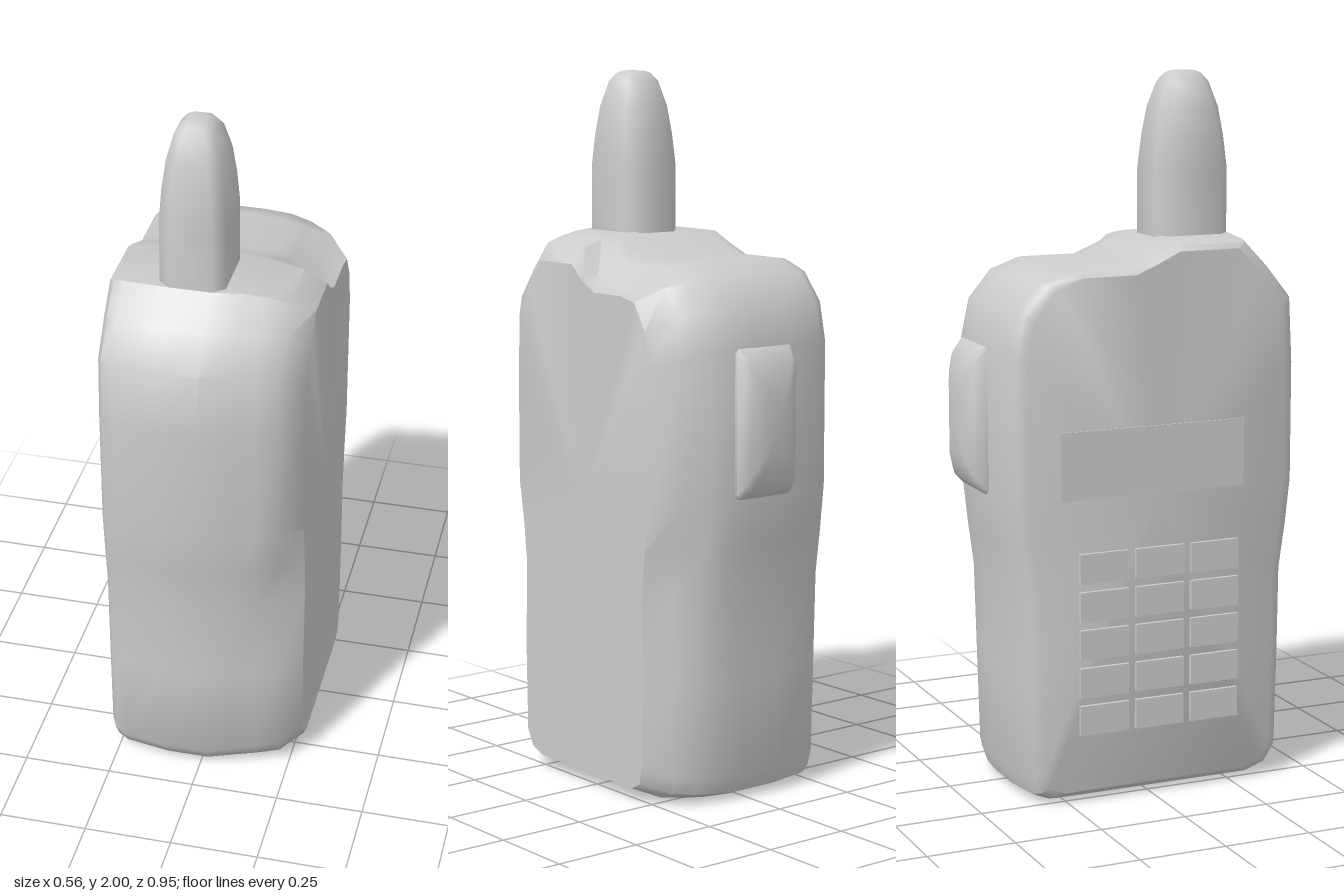
import * as THREE from 'three';
import { toCreasedNormals } from 'three/addons/utils/BufferGeometryUtils.js';

const material = new THREE.MeshStandardMaterial({ color: 0xcccccc });

// Skin a series of matching closed rings of [x, y, z] points and close both ends.
function loft(rings, crease = 0.7) {
  const n = rings[0].length;
  const points = rings.flat();
  const index = [];
  for (let r = 0; r < rings.length - 1; r++) {
    for (let i = 0; i < n; i++) {
      const j = (i + 1) % n;
      const a = r * n + i, b = r * n + j, c = a + n, d = b + n;
      index.push(a, b, d, a, d, c);
    }
  }
  [0, rings.length - 1].forEach((r, end) => {
    const centre = [0, 1, 2].map(k => rings[r].reduce((s, p) => s + p[k], 0) / n);
    const c = points.push(centre) - 1;
    for (let i = 0; i < n; i++) {
      const a = r * n + i, b = r * n + (i + 1) % n;
      index.push(...(end ? [c, a, b] : [c, b, a]));
    }
  });
  // Turn the faces outward if the signed volume is negative
  let volume = 0;
  const v = points.map(p => new THREE.Vector3(...p));
  for (let i = 0; i < index.length; i += 3) {
    volume += v[index[i]].dot(v[index[i + 1]].clone().cross(v[index[i + 2]]));
  }
  if (volume < 0) index.reverse();
  const geometry = new THREE.BufferGeometry().setFromPoints(v);
  geometry.setIndex(index);
  return toCreasedNormals(geometry, crease);
}

// Rectangle with cut corners, as [u, v] pairs
function cutRect(u0, u1, v0, v1, c) {
  return [
    [u0 + c, v0], [u1 - c, v0], [u1, v0 + c], [u1, v1 - c],
    [u1 - c, v1], [u0 + c, v1], [u0, v1 - c], [u0, v0 + c],
  ];
}

function addMesh(parent, name, geometry) {
  const mesh = new THREE.Mesh(geometry, material);
  mesh.name = name;
  parent.add(mesh);
  return mesh;
}

function makeBody() {
  // Outline of the case as [z, y]
  const outline = [
    [0.33, 0], [0.395, 0.02], [0.43, 0.07], [0.437, 0.35], [0.44, 0.6], [0.46, 0.73],
    [0.475, 0.86], [0.475, 1.2], [0.465, 1.38], [0.39, 1.47], [0.31, 1.55],
    [0.1, 1.55], [0.03, 1.52], [-0.05, 1.49], [-0.23, 1.49], [-0.32, 1.46],
    [-0.39, 1.38], [-0.415, 1.27], [-0.415, 0.86], [-0.4, 0.73], [-0.382, 0.6],
    [-0.375, 0.35], [-0.367, 0.07], [-0.35, 0.02], [-0.3, 0],
  ];
  // Across the thickness: x, z extent, -z extent, bottom, top
  const stations = [
    [-0.27, 0.41, 0.36, 0.03, 1.525], [-0.255, 0.44, 0.385, 0.015, 1.54],
    [-0.225, 0.455, 0.4, 0.005, 1.545], [-0.1, 0.475, 0.415, 0, 1.55],
    [0.02, 0.475, 0.415, 0, 1.55], [0.1, 0.445, 0.41, 0.005, 1.545],
    [0.16, 0.425, 0.39, 0.01, 1.535], [0.22, 0.4, 0.35, 0.015, 1.52],
    [0.28, 0.325, 0.275, 0.04, 1.475],
  ];
  return loft(stations.map(([x, front, back, bottom, top]) => outline.map(([z, y]) => {
    let nz = z > 0 ? z * front / 0.475 : z * back / 0.415;
    let ny = bottom + y * (top - bottom) / 1.55;
    // Scoop in the top edge
    if (x > 0.2 && y > 1.48 && z < 0.05) ny -= x > 0.25 ? 0.015 : 0.045;
    // Grip dents along the side corners
    if (x > 0.2 && y > 0.55 && y < 0.75) nz *= x > 0.25 ? 0.97 : 0.93;
    return [x, ny, nz];
  })));
}

function makeAntenna() {
  // Height, half width, half depth, corner cut
  const levels = [
    [1.45, 0.09, 0.11, 0.03], [1.73, 0.09, 0.11, 0.03], [1.82, 0.084, 0.101, 0.03],
    [1.9, 0.074, 0.088, 0.028], [1.97, 0.056, 0.064, 0.022], [1.993, 0.038, 0.046, 0.016],
    [2.0, 0.022, 0.032, 0.01],
  ];
  return loft(levels.map(([y, w, d, c]) =>
    cutRect(-0.04 - w, -0.04 + w, 0.2 - d, 0.2 + d, c).map(([x, z]) => [x, y, z])), 0.9);
}

function makeSideButton() {
  // Depth, half width, half height, corner cut
  const levels = [
    [-0.36, 0.098, 0.205, 0.012], [-0.42, 0.098, 0.205, 0.012],
    [-0.45, 0.085, 0.175, 0.015], [-0.467, 0.062, 0.13, 0.015], [-0.475, 0.042, 0.09, 0.012],
  ];
  return loft(levels.map(([z, w, h, c]) =>
    cutRect(-0.007 - w, -0.007 + w, 1.065 - h, 1.065 + h, c).map(([x, y]) => [x, y, z])), 0.8);
}

export function createModel() {
  const model = new THREE.Group();
  model.name = 'handheldRadio';
  addMesh(model, 'body', makeBody());
  addMesh(model, 'antenna', makeAntenna());
  addMesh(model, 'sideButton', makeSideButton());

  // Display panel
  addMesh(model, 'screen', new THREE.BoxGeometry(0.012, 0.19, 0.555)).position.set(-0.268, 0.955, 0.007);

  // Keypad, five rows of three
  const keypad = new THREE.Group();
  keypad.name = 'keypad';
  const keyGeometry = new THREE.BoxGeometry(0.022, 0.084, 0.146);
  for (let row = 0; row < 5; row++) {
    for (let column = 0; column < 3; column++) {
      addMesh(keypad, 'key', keyGeometry)
        .position.set(-0.27, 0.235 + row * 0.108, -0.142 + column * 0.168);
    }
  }
  model.add(keypad);
  return model;
}
